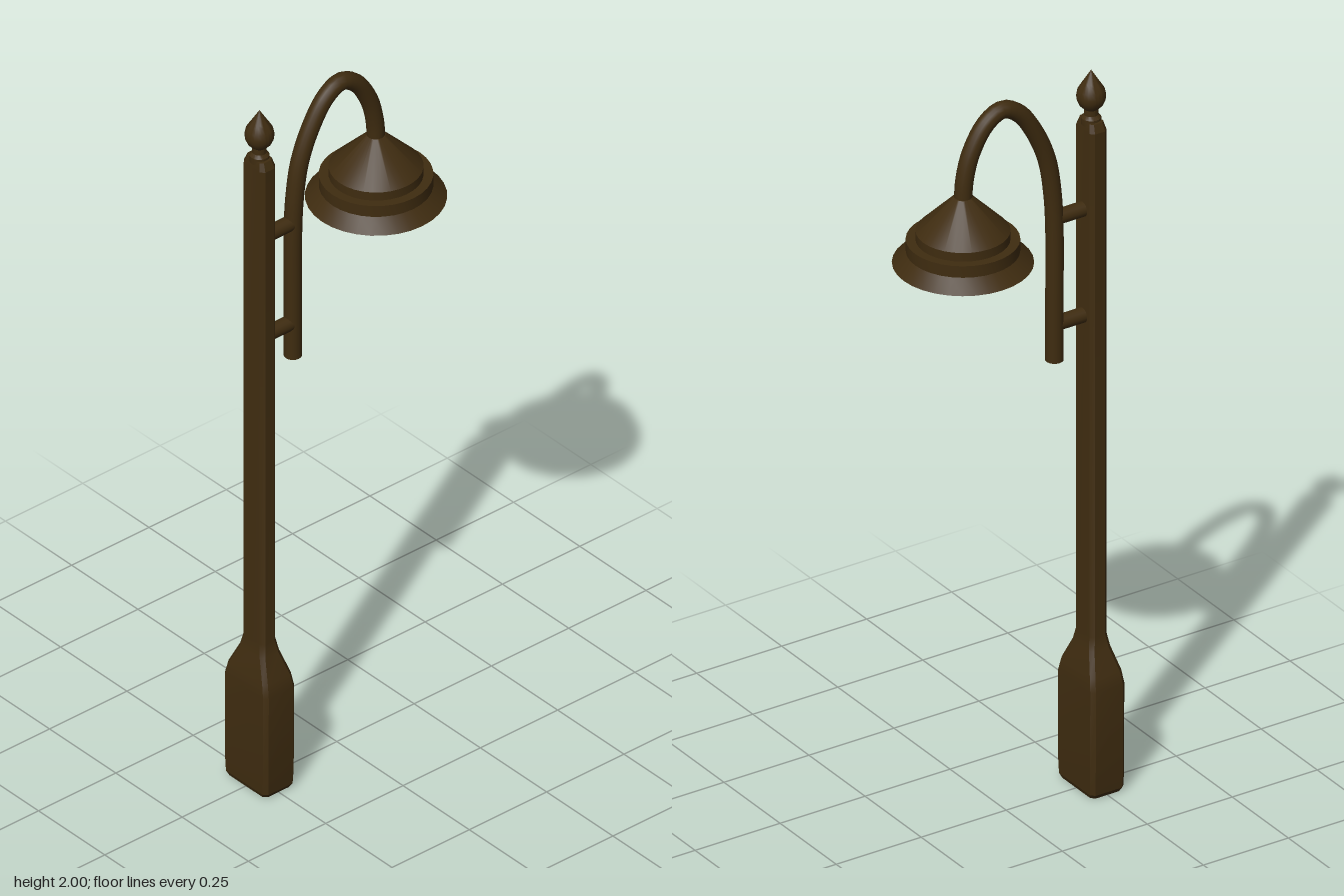
import * as THREE from 'three';
import { toCreasedNormals } from 'three/addons/utils/BufferGeometryUtils.js';

const bronze = new THREE.MeshStandardMaterial({ color: 0x3f2c10, side: THREE.DoubleSide });
bronze.name = 'dark bronze';
const glass = new THREE.MeshStandardMaterial({ color: 0xd2aa62 });
glass.name = 'warm glass';

const POST_Z = 0.25, LAMP_Z = -0.127;

function add(parent, name, geometry, material, x = 0, y = 0, z = 0) {
  const mesh = new THREE.Mesh(geometry, material);
  mesh.name = name;
  mesh.position.set(x, y, z);
  parent.add(mesh);
  return mesh;
}

// Chamfered rectangular rings [y, halfX, halfZ, chamfer] joined into a closed solid
function loftPost(levels) {
  const positions = [], index = [];
  for (const [y, hx, hz, c] of levels) {
    const ring = [
      [hx, hz - c], [hx - c, hz], [-hx + c, hz], [-hx, hz - c],
      [-hx, -hz + c], [-hx + c, -hz], [hx - c, -hz], [hx, -hz + c],
    ];
    for (const [x, z] of ring) positions.push(x, y, z);
  }
  for (let l = 0; l < levels.length - 1; l++) {
    for (let i = 0; i < 8; i++) {
      const a = l * 8 + i, b = l * 8 + (i + 1) % 8;
      index.push(a, a + 8, b, b, a + 8, b + 8);
    }
  }
  const top = (levels.length - 1) * 8;
  for (let i = 1; i < 7; i++) {
    index.push(0, i, i + 1);
    index.push(top, top + i + 1, top + i);
  }
  const geometry = new THREE.BufferGeometry();
  geometry.setAttribute('position', new THREE.Float32BufferAttribute(positions, 3));
  geometry.setIndex(index);
  return toCreasedNormals(geometry, 0.3);
}

function lathe(points, segments) {
  const profile = points.map(([r, y]) => new THREE.Vector2(r, y));
  return toCreasedNormals(new THREE.LatheGeometry(profile, segments), 0.5);
}

export function createModel() {
  const model = new THREE.Group();
  model.name = 'streetLamp';

  // Post with a broad flared base
  add(model, 'post', loftPost([
    [0, 0.072, 0.044, 0.01],
    [0.012, 0.079, 0.049, 0.01],
    [0.05, 0.081, 0.05, 0.01],
    [0.3, 0.082, 0.05, 0.01],
    [0.335, 0.074, 0.046, 0.01],
    [0.395, 0.047, 0.031, 0.01],
    [0.43, 0.04, 0.025, 0.01],
    [1.84, 0.04, 0.025, 0.01],
    [1.862, 0.031, 0.02, 0.008],
  ]), bronze, 0, 0, POST_Z);

  // Finial: neck, ball and point
  add(model, 'finial', lathe([
    [0, 1.85], [0.025, 1.85], [0.025, 1.868], [0.018, 1.876], [0.018, 1.892],
    [0.03, 1.904], [0.036, 1.918], [0.037, 1.93], [0.034, 1.945],
    [0.025, 1.96], [0.021, 1.966], [0, 2],
  ], 24), bronze, 0, 0, POST_Z);

  // Gooseneck arm
  const armPoints = [
    [1.22, 0.142], [1.4, 0.142], [1.58, 0.142], [1.69, 0.136], [1.79, 0.119], [1.88, 0.081],
    [1.943, 0.036], [1.967, -0.012], [1.942, -0.06], [1.872, -0.104], [1.8, -0.123], [1.74, LAMP_Z],
  ];
  const armPath = new THREE.CatmullRomCurve3(armPoints.map(([y, z]) => new THREE.Vector3(0, y, z)));
  add(model, 'arm', new THREE.TubeGeometry(armPath, 64, 0.023, 16), bronze);
  const cap = add(model, 'armEndCap', new THREE.CircleGeometry(0.023, 16), bronze, 0, 1.22, 0.142);
  cap.rotation.x = Math.PI / 2;

  // Brackets joining the arm to the post
  for (const y of [1.32, 1.617]) {
    const bracket = add(model, 'bracket', new THREE.CylinderGeometry(0.02, 0.02, 0.1, 16), bronze, 0, y, 0.188);
    bracket.rotation.x = Math.PI / 2;
  }

  // Stepped shade: outer skin, rim and inner skin in one profile
  add(model, 'shade', lathe([
    [0, 1.6], [0.12, 1.6], [0.135, 1.6], [0.168, 1.575],
    [0.175, 1.575], [0.141, 1.608], [0.141, 1.64], [0.117, 1.64],
    [0.117, 1.664], [0.024, 1.758], [0, 1.764],
  ], 32), bronze, 0, 0, LAMP_Z);

  // Bulb
  add(model, 'bulb', new THREE.SphereGeometry(0.08, 24, 16), glass, 0, 1.612, LAMP_Z);

  return model;
}
